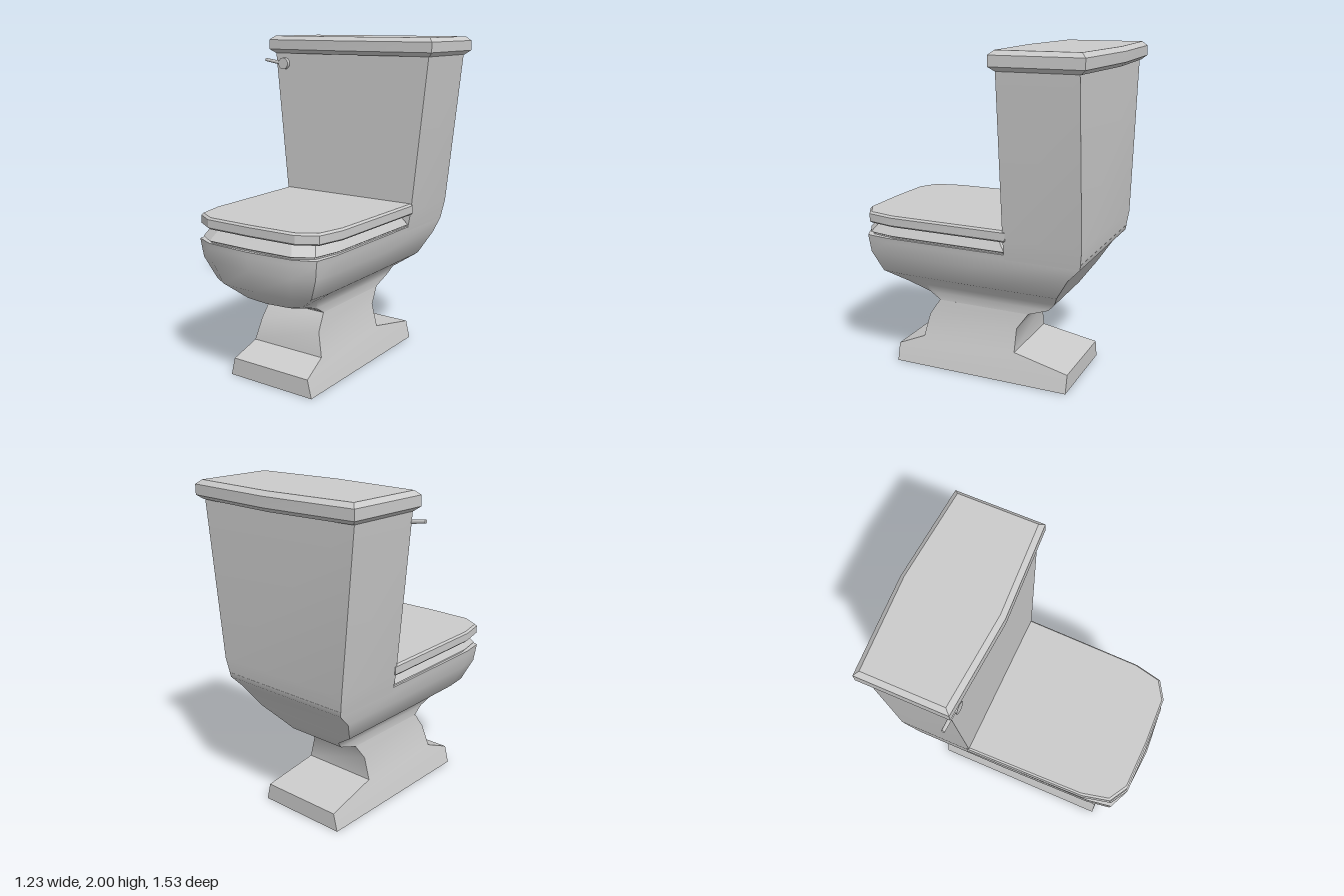
import * as THREE from 'three';
import { toCreasedNormals } from 'three/addons/utils/BufferGeometryUtils.js';

const material = new THREE.MeshStandardMaterial({ color: 0xcccccc });

// Mirrors a half outline of [x, z] points, running from front to back on the +x side.
function ring(y, half) {
  const other = half.filter(([x]) => x > 0).reverse().map(([x, z]) => [-x, z]);
  return [...half, ...other].map(([x, z]) => [x, y, z]);
}

// Skins a stack of rings from bottom to top and caps both ends.
function loft(rings, crease = 0.6) {
  const pos = [];
  const tri = (a, b, c) => pos.push(...a, ...b, ...c);
  const n = rings[0].length;
  for (let r = 0; r < rings.length - 1; r++) {
    const a = rings[r], b = rings[r + 1];
    for (let i = 0; i < n; i++) {
      const j = (i + 1) % n;
      tri(a[i], a[j], b[j]);
      tri(a[i], b[j], b[i]);
    }
  }
  const low = rings[0], top = rings[rings.length - 1];
  for (let i = 1; i < n - 1; i++) {
    tri(low[0], low[i + 1], low[i]);
    tri(top[0], top[i], top[i + 1]);
  }
  const g = new THREE.BufferGeometry();
  g.setAttribute('position', new THREE.Float32BufferAttribute(pos, 3));
  return toCreasedNormals(g, crease);
}

function add(parent, name, geometry) {
  const mesh = new THREE.Mesh(geometry, material);
  mesh.name = name;
  parent.add(mesh);
  return mesh;
}

// Rounded-front seat outline, shrunk by dx at the sides and dz at the ends.
const seatHalf = (w, front, back, dx, dz) => [
  [0, front - dz], [w * 0.65 - dx, front - 0.008 - dz], [w * 0.89 - dx, front - 0.075 - dz],
  [w * 0.97 - dx, front - 0.24 - dz], [w - dx, back + dz],
];

export function createModel() {
  const model = new THREE.Group();
  model.name = 'toilet';
  const body = new THREE.Group();
  body.name = 'body';
  body.position.x = 0.022;
  model.add(body);

  // Pedestal: y, half width, front z, back z
  add(body, 'pedestal', loft([
    [0, 0.297, 0.58, -0.56],
    [0.11, 0.27, 0.58, -0.56],
    [0.18, 0.248, 0.41, -0.21],
    [0.32, 0.212, 0.385, -0.21],
    [0.42, 0.2, 0.32, -0.28],
  ].map(([y, w, f, b]) => ring(y, [[w, f], [w, b]])), 0.7));

  // Bowl: y, half width, front z, back z, corner rounding
  add(body, 'bowl', loft([
    [0.42, 0.2, 0.32, -0.28, 0.05],
    [0.465, 0.2, 0.41, -0.41, 0.3],
    [0.515, 0.22, 0.6, -0.455, 0.9],
    [0.615, 0.365, 0.71, -0.52, 1],
    [0.75, 0.43, 0.755, -0.605, 1],
    [0.83, 0.442, 0.763, -0.68, 1],
    [0.86, 0.447, 0.765, -0.685, 1],
  ].map(([y, w, f, b, k]) => ring(y, [
    [0, f], [w * (1 - 0.34 * k), f - 0.02 * k], [w * (1 - 0.07 * k), f - 0.075 * k],
    [w * (1 - 0.02 * k), f - 0.22 * k], [w, (f + b) / 2 - 0.1], [w, b],
  ])), 0.7));

  // Tank, widening towards the top
  add(body, 'tank', loft([
    [0.83, 0.442, -0.68],
    [0.95, 0.464, -0.695],
    [1.9, 0.56, -0.695],
  ].map(([y, w, b]) => ring(y, [[w, -0.23], [w, b]]))));

  // Bowed tank lid with chamfered edges
  add(body, 'tankLid', loft([
    [1.89, 0.03], [1.915, 0], [1.975, 0], [2, 0.028],
  ].map(([y, d]) => ring(y, [
    [0, -0.165 - d], [0.592 - d, -0.2 - d], [0.592 - d, -0.733 + d], [0, -0.768 + d],
  ])), 0.2));

  // Seat, tapering upwards from a thin rim
  add(body, 'seat', loft([
    [0.858, 0.012, 0.012], [0.868, 0.012, 0.012], [0.875, 0, 0], [0.942, 0.035, 0.052],
  ].map(([y, dx, dz]) => ring(y, seatHalf(0.447, 0.755, -0.23, dx, dz))), 0.4));

  // Seat cover
  add(body, 'seatCover', loft([
    [0.938, 0.01], [0.948, 0], [0.995, 0], [1.007, 0.01],
  ].map(([y, d]) => ring(y, seatHalf(0.472, 0.746, -0.245, d, d))), 0.4));

  // Flush handle: round boss and slim lever
  const handle = new THREE.Group();
  handle.name = 'flushHandle';
  handle.position.set(-0.465, 1.824, -0.22);
  model.add(handle);
  const boss = add(handle, 'handleBoss', new THREE.CylinderGeometry(0.037, 0.037, 0.03, 20));
  boss.rotation.x = Math.PI / 2;
  const lever = add(handle, 'handleLever', new THREE.CylinderGeometry(0.01, 0.013, 0.155, 10));
  lever.position.set(-0.077, 0.01, -0.004);
  lever.rotation.z = Math.PI / 2 - 0.14;
  return model;
}
